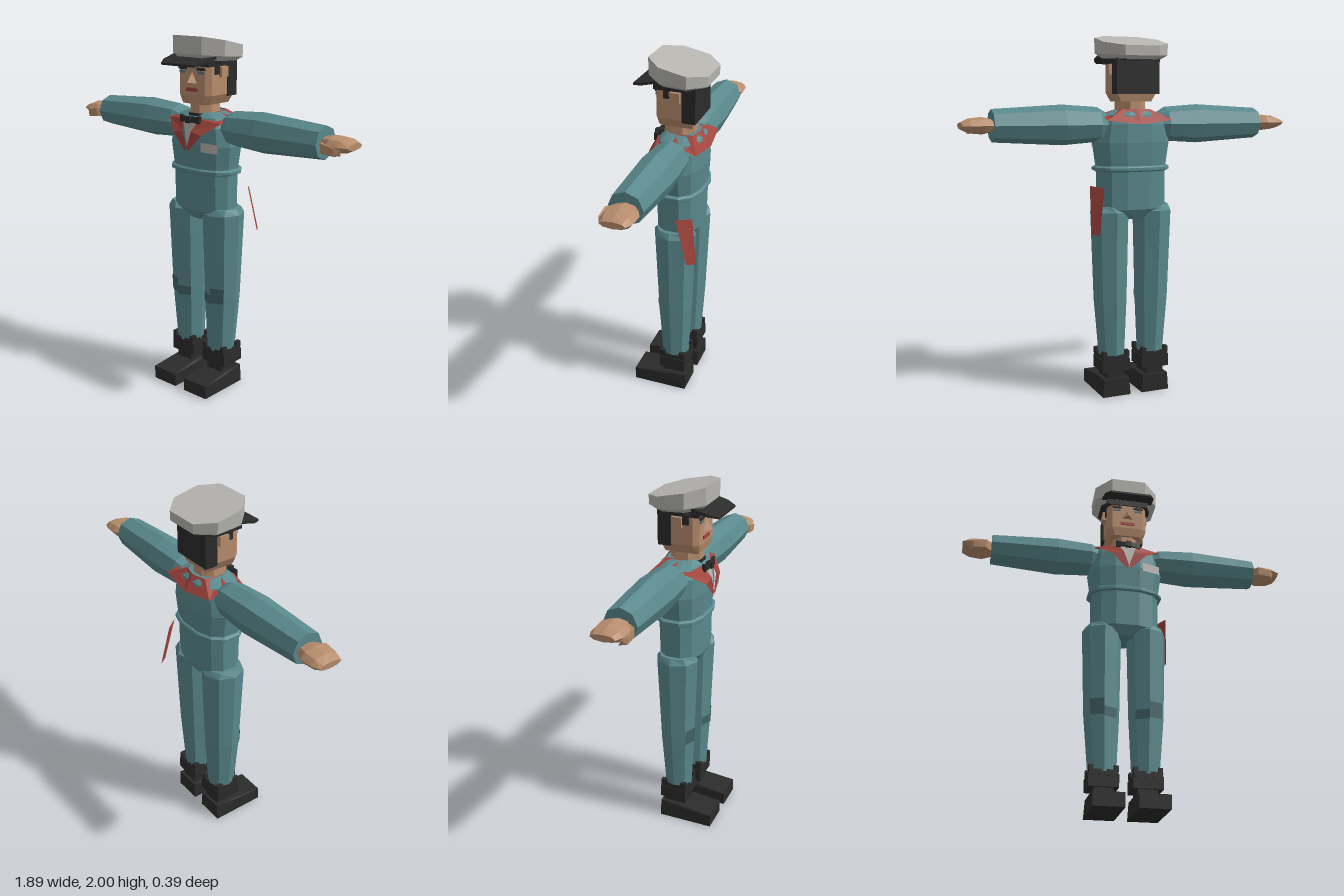
import * as THREE from 'three';
import { ConvexGeometry } from 'three/addons/geometries/ConvexGeometry.js';

const mat = (name, color, side = THREE.FrontSide) =>
  Object.assign(new THREE.MeshStandardMaterial({ color, side }), { name });

export function createModel() {
  const model = new THREE.Group();
  const teal = mat('teal cloth', 0x5a898d);
  const darkTeal = mat('dark teal patch', 0x446468, THREE.DoubleSide);
  const skin = mat('skin', 0xb88d6d);
  const red = mat('red cloth', 0xa2443d, THREE.DoubleSide);
  const grey = mat('light grey', 0xb6b5b0, THREE.DoubleSide);
  const black = mat('black', 0x2b2b2b);
  const eyeMat = mat('eye blue', 0x5d7480);

  const add = (name, geo, material, parent = model) => {
    const mesh = new THREE.Mesh(geo, material);
    mesh.name = name;
    parent.add(mesh);
    return mesh;
  };
  const box = (name, material, x0, x1, y0, y1, z0, z1) => {
    const m = add(name, new THREE.BoxGeometry(Math.abs(x1 - x0), y1 - y0, z1 - z0), material);
    m.position.set((x0 + x1) / 2, (y0 + y1) / 2, (z0 + z1) / 2);
    return m;
  };
  const hull = (name, pts, material) =>
    add(name, new ConvexGeometry(pts.map(p => new THREE.Vector3(...p))), material);
  const mirror = pts => pts.flatMap(([x, y, z]) => [[x, y, z], [-x, y, z]]);
  const flat = pts => {
    const g = new THREE.BufferGeometry();
    g.setAttribute('position', new THREE.Float32BufferAttribute(pts.flat(), 3));
    g.computeVertexNormals();
    return g;
  };
  const quad = (a, b, c, d) => [a, b, c, a, c, d];

  // Cross-section point on a ring [y, cx, rx, cz, rz]; power squares it off
  const ringPoint = ([y, cx, rx, cz, rz], t, power = 1) => {
    const f = v => Math.sign(v) * Math.abs(v) ** power;
    return [cx + rx * f(Math.cos(t)), y, cz + rz * f(Math.sin(t))];
  };
  // Faceted skin over stacked rings, closed at both ends
  const loft = (rings, sides = 8, power = 1, phase = 0) => {
    const pts = [], n = rings.length - 1;
    const P = (i, j) => ringPoint(rings[i], ((j + phase) / sides) * Math.PI * 2, power);
    const mid = i => [rings[i][1], rings[i][0], rings[i][3]];
    for (let j = 0; j < sides; j++) {
      for (let i = 0; i < n; i++) pts.push(...quad(P(i, j), P(i + 1, j), P(i + 1, j + 1), P(i, j + 1)));
      pts.push(mid(0), P(0, j), P(0, j + 1), mid(n), P(n, j + 1), P(n, j));
    }
    return flat(pts);
  };

  // Overalls: torso and waistband
  add('torso', loft([
    [1.0, 0, 0.06, -0.03, 0.09], [1.055, 0, 0.195, -0.03, 0.12], [1.25, 0, 0.195, -0.03, 0.125],
    [1.3, 0, 0.2, -0.03, 0.127], [1.42, 0, 0.217, -0.03, 0.135], [1.52, 0, 0.2, -0.03, 0.13],
    [1.57, 0, 0.175, -0.035, 0.115], [1.595, 0, 0.1, -0.035, 0.09],
  ], 12, 0.8, 0.5), teal);
  add('waistband', loft([
    [1.263, 0, 0.205, -0.03, 0.132], [1.27, 0, 0.218, -0.03, 0.139],
    [1.285, 0, 0.218, -0.03, 0.139], [1.293, 0, 0.205, -0.03, 0.132],
  ], 12, 0.8, 0.5), teal);

  for (const s of [1, -1]) {
    const side = s > 0 ? 'left' : 'right';
    const m = pts => pts.map(([x, y, z]) => [s * x, y, z]);

    // Sleeve
    const sleeve = loft([
      [0.14, 0, 0.06, -0.035, 0.07], [0.2, 0, 0.094, -0.035, 0.098], [0.4, 0, 0.108, -0.035, 0.108],
      [0.78, 0, 0.086, -0.03, 0.09],
    ]).rotateZ(-s * Math.PI / 2).translate(0, 1.517, 0);
    add(side + 'Sleeve', sleeve, teal);

    // Hand and thumb
    const palm = [[0.77, 0.03, 0.055], [0.83, 0.045, 0.085], [0.9, 0.038, 0.083], [0.943, 0.018, 0.065]];
    hull(side + 'Hand', m(palm.flatMap(([x, h, w]) => Array.from({ length: 8 }, (_, k) => {
      const a = k * Math.PI / 4;
      return [x, 1.518 + h * Math.sin(a), -0.035 + w * Math.cos(a)];
    }))), skin);
    hull(side + 'Thumb', m([[0.78, 1.53, 0.02], [0.78, 1.48, 0.02], [0.81, 1.53, 0.058], [0.81, 1.48, 0.055],
      [0.88, 1.515, 0.06], [0.88, 1.475, 0.055], [0.905, 1.505, 0.035], [0.9, 1.475, 0.02]]), skin);

    // Trouser leg
    const rings = [[0.22, s * 0.1175, 0.077, -0.03, 0.08], [0.55, s * 0.124, 0.099, -0.03, 0.1],
      [1.04, s * 0.1275, 0.1125, -0.03, 0.12], [1.072, s * 0.15, 0.07, -0.03, 0.095]];
    add(side + 'Leg', loft(rings), teal);

    // Knee patches: thin faces just proud of the two front facets
    const onLeg = (y, k) => {
      const [lo, hi] = y < 0.55 ? rings : rings.slice(1);
      const u = (y - lo[0]) / (hi[0] - lo[0]);
      const r = lo.map((v, i) => v + (hi[i] - v) * u);
      r[2] += 0.004; r[4] += 0.004;
      return ringPoint(r, Math.PI / 2 - s * k * Math.PI / 4);
    };
    const patch = (y0, y1, k) => quad(onLeg(y0, k), onLeg(y0, k + 1), onLeg(y1, k + 1), onLeg(y1, k));
    add(side + 'KneePatch', flat([...patch(0.525, 0.615, 0), ...patch(0.515, 0.57, -1)]), darkTeal);

    // Boot: sole, ankle, cuff and ragged cuff tabs
    hull(side + 'BootFoot', m([0.035, 0.2].flatMap(x => [[x, 0, 0.2], [x, 0, -0.115], [x, 0.075, 0.2],
      [x, 0.085, 0.03], [x * 0.9 + 0.012, 0.1, 0], [x * 0.9 + 0.012, 0.1, -0.115]])), black);
    box(side + 'BootAnkle', black, s * 0.065, s * 0.17, 0.08, 0.15, -0.1, 0.03);
    box(side + 'BootCuff', black, s * 0.037, s * 0.2, 0.14, 0.21, -0.112, 0.042);
    box(side + 'BootCuffTop', black, s * 0.042, s * 0.195, 0.2, 0.232, -0.11, 0.045);
    for (const [x, z] of [[0.052, 0.03], [0.185, 0.03], [0.052, -0.09], [0.185, -0.09]])
      box(side + 'BootTab', black, s * (x - 0.012), s * (x + 0.012), 0.22, 0.255, z - 0.02, z + 0.015);

    // Ear, sideburn, brow and eye
    box(side + 'Ear', skin, s * 0.11, s * 0.135, 1.785, 1.84, -0.055, 0);
    box(side + 'Sideburn', black, s * 0.105, s * 0.121, 1.8, 1.87, 0.0, 0.035);
    box(side + 'Brow', black, s * 0.037, s * 0.092, 1.822, 1.836, 0.082, 0.091);
    box(side + 'Eye', eyeMat, s * 0.042, s * 0.088, 1.803, 1.818, 0.082, 0.089);

    // Half of the wide collar, from lapel point round to centre back
    const inner = m([[0, 1.41, 0.132], [0.03, 1.5, 0.13], [0.055, 1.565, 0.09], [0.085, 1.597, -0.02], [0.08, 1.6, -0.11], [0, 1.6, -0.13]]);
    const outer = m([[0.01, 1.39, 0.132], [0.1, 1.485, 0.128], [0.185, 1.55, 0.065], [0.185, 1.575, -0.05], [0.19, 1.54, -0.165], [0, 1.52, -0.185]]);
    add(side + 'Collar', flat(inner.slice(1).flatMap((p, i) => quad(inner[i], outer[i], outer[i + 1], p))), red);

    // Bow tie wing
    hull(side + 'BowTieWing', m([0.1, 0.118].flatMap(z => [[0.01, 1.55, z], [0.01, 1.57, z],
      [0.07, 1.54, z - 0.01], [0.07, 1.582, z - 0.01]])), black);
  }

  // Shirt front, bow tie knot, name tag
  add('shirtFront', flat([[-0.055, 1.57, 0.1], [0, 1.4, 0.126], [0.055, 1.57, 0.1]]), grey);
  box('bowTieKnot', black, -0.016, 0.016, 1.543, 1.577, 0.09, 0.125);
  add('nameTag', flat(quad([0.085, 1.395, 0.114], [0.185, 1.39, 0.09], [0.185, 1.44, 0.09], [0.085, 1.445, 0.114])), grey);

  // Rag hanging behind the left hip
  add('rag', flat(quad([0.205, 1.18, -0.155], [0.26, 1.19, -0.08], [0.275, 0.935, -0.145], [0.245, 0.93, -0.192])), red);

  // Neck and collar stud band
  add('neck', loft([[1.54, 0, 0.09, -0.02, 0.09], [1.66, 0, 0.08, -0.02, 0.088]], 8, 1, 0.5), skin);
  add('neckBand', loft([[1.565, 0, 0.096, -0.02, 0.1], [1.59, 0, 0.093, -0.02, 0.097]], 8, 1, 0.5), black);

  // Head, nose and mouth
  hull('head', mirror([[0.075, 1.64, 0.075], [0.088, 1.64, 0.05], [0.088, 1.64, -0.11],
    ...[1.69, 1.88].flatMap(y => [[0.09, y, 0.084], [0.115, y, 0.055], [0.115, y, -0.12]])]), skin);
  hull('nose', [[0, 1.81, 0.084], [0, 1.757, 0.124], ...mirror([[0.036, 1.752, 0.08]]), [0, 1.81, 0.07]], skin);
  box('mouth', red, -0.042, 0.042, 1.708, 1.727, 0.08, 0.089);

  // Hair
  box('backHair', black, -0.124, 0.124, 1.68, 1.88, -0.137, -0.065);
  box('hairline', black, -0.122, 0.122, 1.843, 1.88, -0.13, 0.09);

  // Cap: octagonal crown with slanted top, band and visor
  const octagon = (k, yOf) => mirror([[0.1, 0.122], [0.187, 0.035], [0.187, -0.11], [0.1, -0.195]].map(
    ([x, z]) => { const zz = -0.035 + (z + 0.035) * k; return [x * k, yOf(zz), zz]; }));
  hull('capCrown', [...octagon(1, z => 1.975 + 0.21 * z), ...octagon(0.99, z => 1.897 + 0.08 * z),
    ...octagon(0.8, z => 1.872 + 0.05 * z)], grey);
  hull('capBand', [...octagon(0.79, () => 1.855), ...octagon(0.79, z => 1.885 + 0.08 * z)], black);
  hull('capVisor', mirror([[0.15, 1.9, 0.06], [0.15, 1.885, 0.06], [0.145, 1.876, 0.15], [0.145, 1.862, 0.15],
    [0.115, 1.862, 0.2], [0.115, 1.85, 0.2]]), black);

  return model;
}
